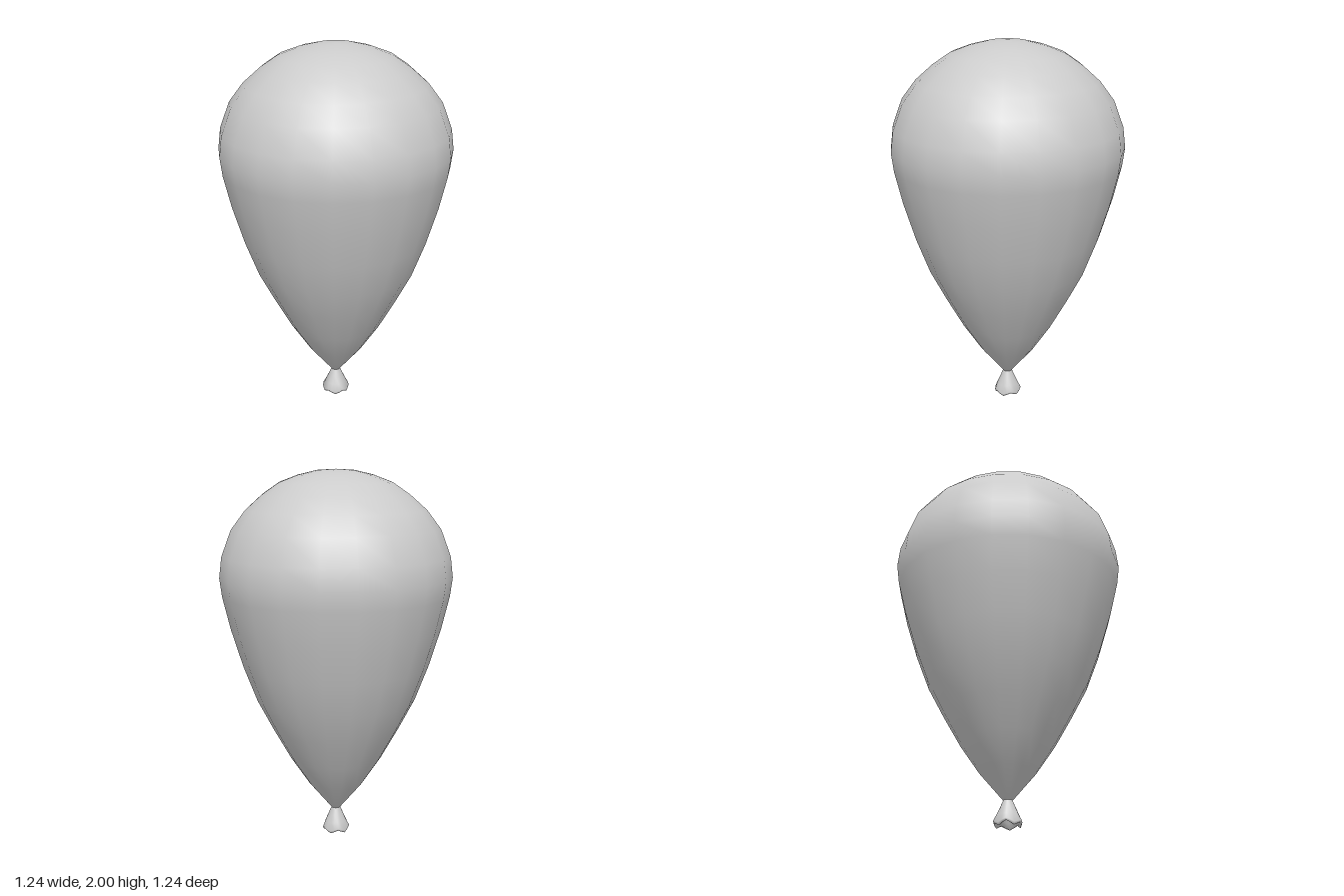
import * as THREE from 'three';
import { mergeVertices } from 'three/addons/utils/BufferGeometryUtils.js';

const SIDES = 20;

// Revolve a bottom-to-top profile of [radius, height] pairs
function revolve(profile) {
  return new THREE.LatheGeometry(profile.map(([r, y]) => new THREE.Vector2(r, y)), SIDES);
}

export function createModel() {
  const group = new THREE.Group();
  group.name = 'balloon';
  const material = new THREE.MeshStandardMaterial({ color: 0xcccccc, side: THREE.DoubleSide });

  // Inflated teardrop body
  const body = new THREE.Mesh(revolve([
    [0.022, 0.135], [0.148, 0.285], [0.25, 0.437], [0.344, 0.605], [0.43, 0.77],
    [0.502, 0.96], [0.565, 1.165], [0.607, 1.34], [0.62, 1.44], [0.607, 1.55],
    [0.555, 1.69], [0.48, 1.79], [0.39, 1.87], [0.3, 1.932], [0.2, 1.97],
    [0.1, 1.994], [0, 2],
  ]), material);
  body.name = 'body';

  // Flared open neck: up the inside, round the lip and back to the knot
  let neckGeometry = revolve([
    [0.014, 0.11], [0.048, 0.035], [0.06, 0.012], [0.068, 0.01],
    [0.073, 0.022], [0.058, 0.06], [0.04, 0.1], [0.023, 0.14],
  ]);
  neckGeometry.deleteAttribute('uv');
  neckGeometry.deleteAttribute('normal');
  neckGeometry = mergeVertices(neckGeometry, 1e-5);

  // Ripple the lip, fading out toward the knot
  const p = neckGeometry.attributes.position;
  for (let i = 0; i < p.count; i++) {
    const angle = Math.atan2(p.getX(i), p.getZ(i));
    const fade = Math.max(0, 1 - Math.max(0, p.getY(i) - 0.012) / 0.06);
    const wave = Math.cos(angle * 5) * fade;
    const spread = 1 + 0.04 * wave;
    p.setXYZ(i, p.getX(i) * spread, p.getY(i) + 0.01 * wave, p.getZ(i) * spread);
  }
  neckGeometry.computeVertexNormals();
  const neck = new THREE.Mesh(neckGeometry, material);
  neck.name = 'neck';

  group.add(body, neck);
  return group;
}
